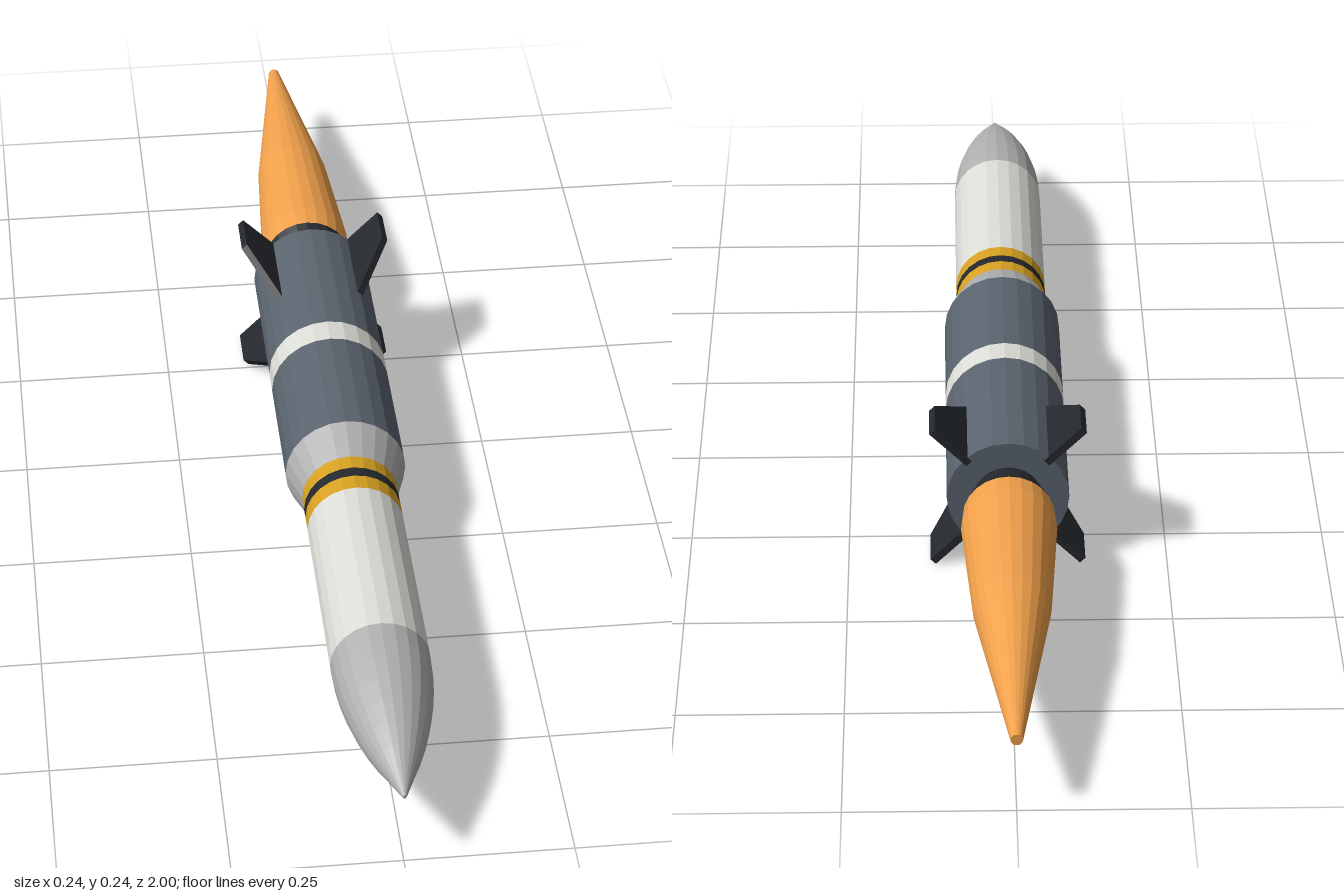
import * as THREE from 'three';

const SIDES = 24;
const AXIS_Y = 0.122;

const paint = (color) => new THREE.MeshStandardMaterial({ color, flatShading: true });

// Solid of revolution along z from [z, radius] pairs, closed at both ends
function turned(name, profile, material) {
  const points = profile.map(([z, r]) => new THREE.Vector2(r, z));
  points.unshift(new THREE.Vector2(0, profile[0][0]));
  points.push(new THREE.Vector2(0, profile[profile.length - 1][0]));
  const geometry = new THREE.LatheGeometry(points, SIDES);
  geometry.rotateX(Math.PI / 2);
  const mesh = new THREE.Mesh(geometry, material);
  mesh.name = name;
  return mesh;
}

export function createModel() {
  const model = new THREE.Group();
  model.name = 'missile';
  const body = new THREE.Group();
  body.name = 'body';
  body.position.y = AXIS_Y;
  model.add(body);

  const white = paint(0xdcdcd6);
  const grey = paint(0xb0b0b0);
  const slate = paint(0x5a636e);
  const dark = paint(0x24282d);
  const yellow = paint(0xd6a021);
  const orange = paint(0xf0a04b);

  const R = 0.0955; // booster radius
  const r = 0.0755; // forward radius

  // Rounded nose with a tiny blunt tip
  const nose = [];
  for (let i = 0; i <= 8; i++) {
    const t = i / 8;
    nose.push([0.698 + 0.302 * t, Math.max(0.003, r * (1 - t * t))]);
  }
  body.add(turned('noseCone', nose, grey));

  // Straight sections and the shoulder, front to back
  const sections = [
    ['forwardBody', 0.364, r, 0.698, r, white],
    ['frontYellowBand', 0.333, r, 0.364, r, yellow],
    ['blackBand', 0.312, r, 0.333, r, dark],
    ['rearYellowBand', 0.283, r, 0.312, r, yellow],
    ['shoulder', 0.217, R, 0.283, r, grey],
    ['frontBooster', -0.011, R, 0.217, R, slate],
    ['whiteBand', -0.06, R, -0.011, R, white],
    ['rearBooster', -0.334, R, -0.06, R, slate],
    ['nozzle', -0.392, 0.071, -0.334, 0.053, dark],
  ];
  for (const [name, z0, r0, z1, r1, material] of sections) {
    body.add(turned(name, [[z0, r0], [z1, r1]], material));
  }

  // Exhaust flame
  body.add(turned('flame', [
    [-1, 0.009], [-0.66, 0.059], [-0.43, 0.074], [-0.392, 0.071],
  ], orange));

  // Four swept fins set on the diagonals; shape x is radial, shape y is z
  const outline = new THREE.Shape([
    [0.085, -0.334], [0.166, -0.334], [0.166, -0.26], [0.095, -0.175], [0.085, -0.175],
  ].map(([x, y]) => new THREE.Vector2(x, y)));
  const finGeometry = new THREE.ExtrudeGeometry(outline, { depth: 0.012, bevelEnabled: false });
  finGeometry.translate(0, 0, -0.006);
  finGeometry.rotateX(Math.PI / 2);
  for (let i = 0; i < 4; i++) {
    const fin = new THREE.Mesh(finGeometry, dark);
    fin.name = 'fin' + (i + 1);
    fin.rotation.z = Math.PI / 4 + i * Math.PI / 2;
    body.add(fin);
  }

  return model;
}
